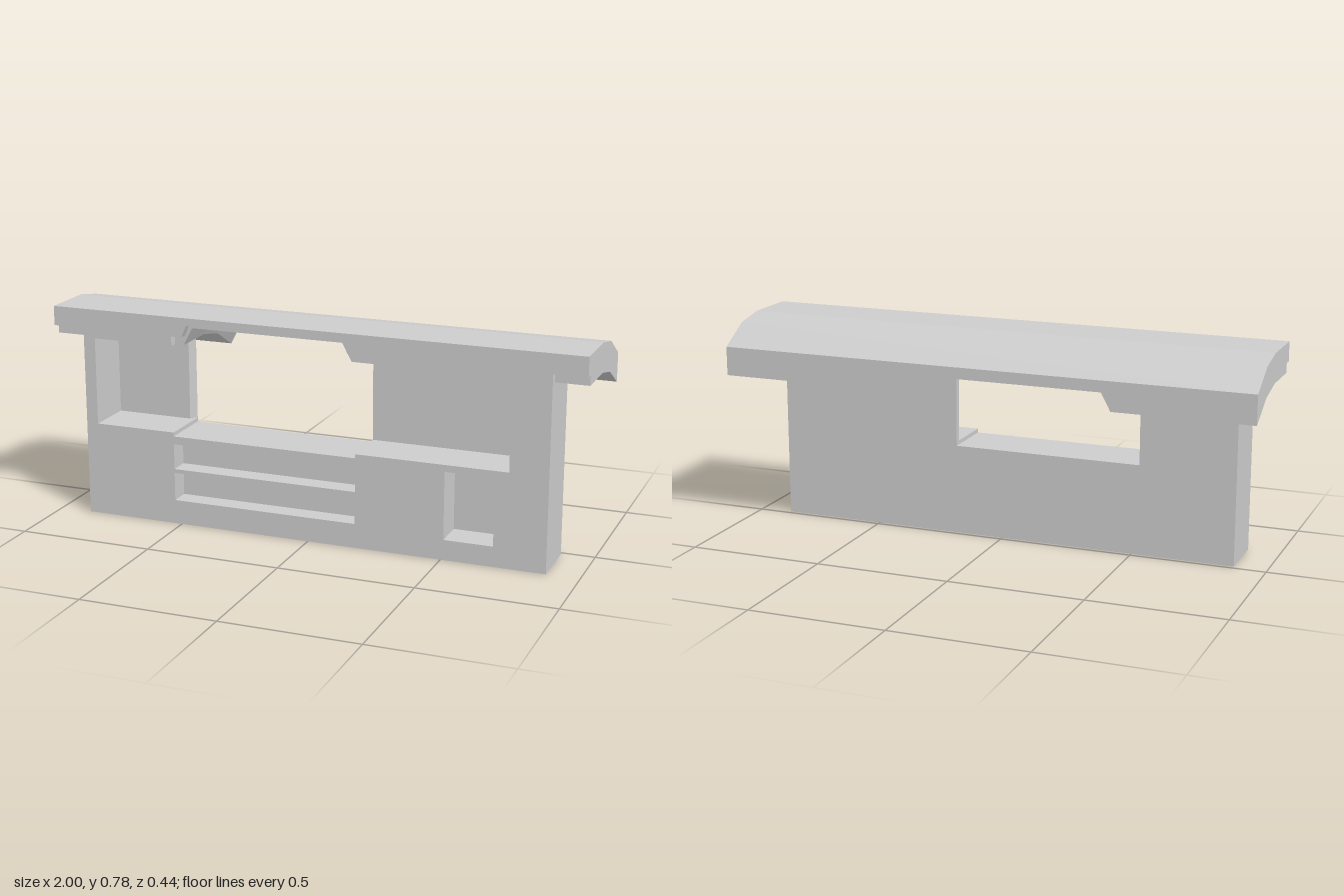
import * as THREE from 'three';

const grey = new THREE.MeshStandardMaterial({ color: 0xcccccc });
grey.name = 'light grey';

const toPoints = (pts) => pts.map(([x, y]) => new THREE.Vector2(x, y));

function addMesh(parent, name, geometry) {
  const mesh = new THREE.Mesh(geometry, grey);
  mesh.name = name;
  parent.add(mesh);
  return mesh;
}

// Slab cut in the xy plane, spanning z0 to z1, with rectangular holes
function slab(outline, z0, z1, holes = []) {
  const shape = new THREE.Shape(toPoints(outline));
  for (const [x0, y0, x1, y1] of holes) {
    shape.holes.push(new THREE.Path(toPoints([[x0, y0], [x0, y1], [x1, y1], [x1, y0]])));
  }
  return new THREE.ExtrudeGeometry(shape, { depth: z1 - z0, bevelEnabled: false }).translate(0, 0, z0);
}

// Closed loft through xy rings (counterclockwise from the front), front to back
function loft(stations) {
  const pos = [];
  const tri = (a, b, c) => {
    const area = new THREE.Triangle(new THREE.Vector3(...a), new THREE.Vector3(...b), new THREE.Vector3(...c)).getArea();
    if (area > 1e-7) pos.push(...a, ...b, ...c);
  };
  const rings = stations.map(({ z, ring }) => ring.map(([x, y]) => [x, y, z]));
  for (let s = 0; s < rings.length - 1; s++) {
    const f = rings[s], k = rings[s + 1], n = f.length;
    for (let i = 0; i < n; i++) {
      const j = (i + 1) % n;
      tri(f[i], k[i], k[j]);
      tri(f[i], k[j], f[j]);
    }
  }
  const first = rings[0], last = rings[rings.length - 1];
  for (const [a, b, c] of THREE.ShapeUtils.triangulateShape(toPoints(stations[0].ring), [])) {
    tri(first[a], first[b], first[c]);
  }
  for (const [a, b, c] of THREE.ShapeUtils.triangulateShape(toPoints(stations[stations.length - 1].ring), [])) {
    tri(last[a], last[c], last[b]);
  }
  const g = new THREE.BufferGeometry();
  g.setAttribute('position', new THREE.Float32BufferAttribute(pos, 3));
  g.computeVertexNormals();
  return g;
}

export function createModel() {
  const model = new THREE.Group();
  model.name = 'panelWithCanopy';
  const zBack = 0.015, zWall = 0.038, zNiche = 0.1, zSlot = 0.145, zLip = 0.19, zFront = 0.22;
  const top = 0.675;

  // Thin rear wall with the window opening; one jamb is splayed
  const rear = slab([
    [-0.88, 0], [0.88, 0], [0.88, top], [0.18, top], [0.18, 0.335], [-0.525, 0.335],
    [-0.525, 0.35], [-0.525, 0.351], [-0.525, top], [-0.88, top],
  ], zBack, zWall);
  const p = rear.attributes.position;
  for (let i = 0; i < p.count; i++) {
    const splayed = Math.abs(p.getX(i) + 0.525) < 0.001 && p.getY(i) > 0.3505 && p.getZ(i) > zWall - 0.001;
    if (splayed) p.setX(i, -0.545);
  }
  rear.computeVertexNormals();
  addMesh(model, 'rearWall', rear);

  // Front body in layers: side jambs, sill, niche and two slots
  const outline = [
    [-0.88, 0], [0.88, 0], [0.88, top], [0.74, top], [0.74, 0.35], [0.18, 0.35], [0.18, 0.335],
    [-0.525, 0.335], [-0.525, 0.35], [-0.835, 0.35], [-0.835, top], [-0.88, top],
  ];
  const niche = [0.51, 0.075, 0.69, 0.325];
  const slots = [[-0.525, 0.21, 0.18, 0.305], [-0.525, 0.09, 0.18, 0.195]];
  addMesh(model, 'bodyCore', slab(outline, zWall, zNiche));
  addMesh(model, 'bodyMiddle', slab(outline, zNiche, zSlot, [niche]));
  addMesh(model, 'bodyFront', slab(outline, zSlot, zFront, [niche, ...slots]));

  // Fascia strips closing the rebate above the body
  for (const [x0, x1] of [[-0.88, -0.525], [0.74, 0.88]]) {
    addMesh(model, 'fascia', new THREE.BoxGeometry(x1 - x0, 0.035, zFront - zLip)
      .translate((x0 + x1) / 2, top + 0.0175, (zLip + zFront) / 2));
  }

  // Canopy curving down to the back, with a raised trapezoid channel beneath
  const wide = [-0.49, -0.455, 0.12, 0.155], lip = [-0.485, -0.465, 0.133, 0.15];
  const section = (z, t, b, c, [x0, x1, x2, x3]) => ({
    z,
    ring: [[-1, t], [-1, b], [x0, b], [x1, c], [x2, c], [x3, b], [1, b], [1, t]],
  });
  addMesh(model, 'canopy', loft([
    section(zFront, 0.782, 0.71, 0.755, lip),
    section(zLip, 0.782, 0.71, 0.755, lip),
    section(zLip, 0.782, top, 0.74, wide),
    section(zBack, 0.782, top, 0.74, wide),
    section(-0.1, 0.76, 0.65, 0.715, wide),
    section(-0.22, 0.69, 0.583, 0.648, wide),
  ]));
  return model;
}
